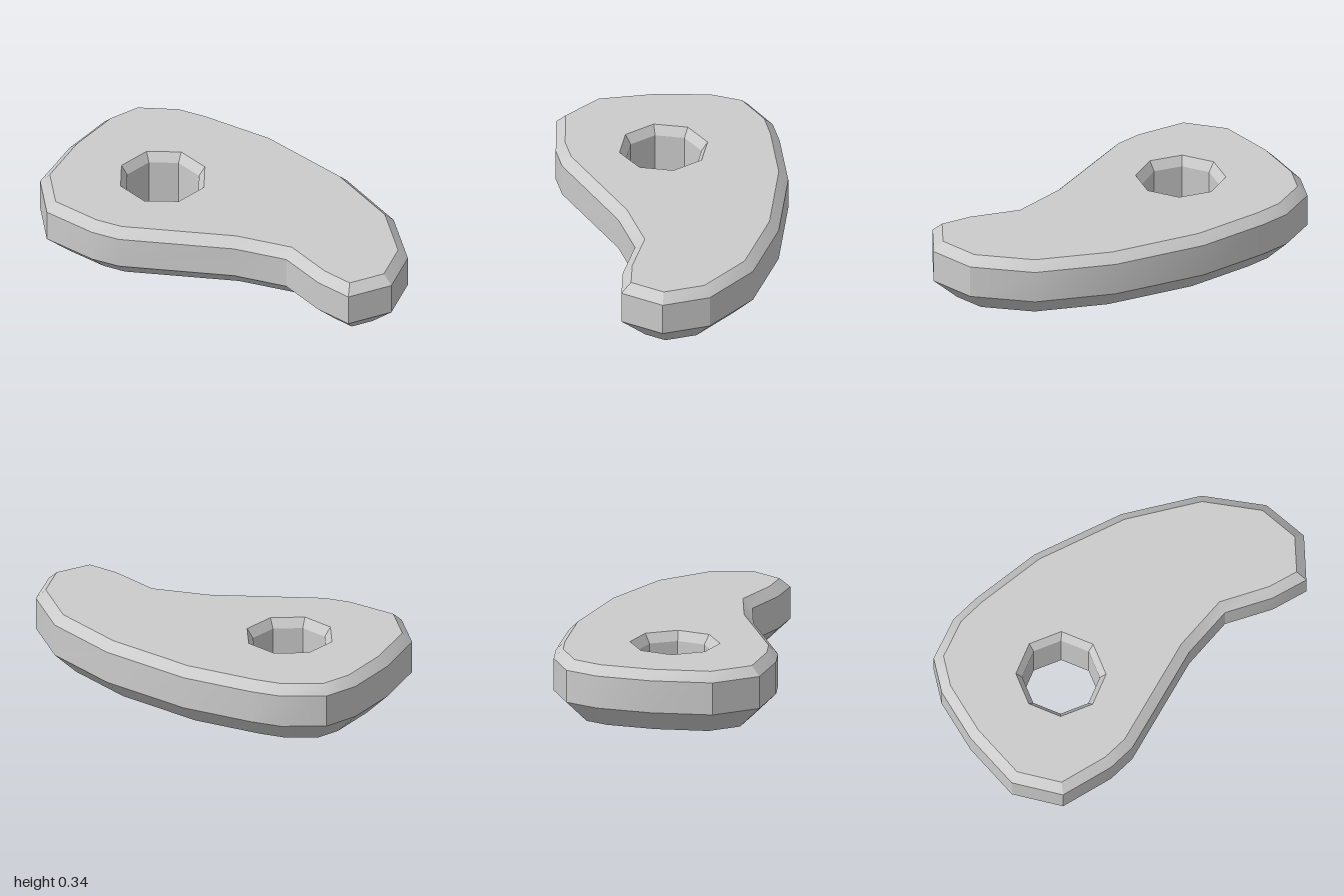
import * as THREE from 'three';
import { toCreasedNormals } from 'three/addons/utils/BufferGeometryUtils.js';

// Plan outline as [x, z], clockwise seen from above
const OUTLINE = [
  [-1, 0.27], [-0.98, -0.05], [-0.91, -0.33], [-0.81, -0.49], [-0.59, -0.57], [-0.43, -0.57],
  [-0.05, -0.53], [0.42, -0.375], [0.78, -0.16], [0.98, 0.11], [1, 0.36], [0.84, 0.54],
  [0.65, 0.49], [0.42, 0.375], [0.14, 0.4], [-0.43, 0.565], [-0.58, 0.565], [-0.86, 0.5],
];
const HEIGHT = 0.336, WALL_TOP = 0.288, WALL_BOTTOM = 0.119;

// Moves every edge of the outline inwards by d, with mitred corners
function inset(points, d) {
  const n = points.length;
  const normal = (a, b) => new THREE.Vector2(a[1] - b[1], b[0] - a[0]).normalize();
  return points.map((p, i) => {
    const n1 = normal(points[(i + n - 1) % n], p);
    const n2 = normal(p, points[(i + 1) % n]);
    const k = d / (1 + n1.dot(n2));
    return [p[0] + (n1.x + n2.x) * k, p[1] + (n1.y + n2.y) * k];
  });
}

// Octagon for the hole, counter-clockwise seen from above
function octagon(r) {
  return Array.from({ length: 8 }, (_, i) => {
    const a = (i * Math.PI) / 4;
    return [-0.42 + r * Math.cos(a), 0.038 - r * Math.sin(a)];
  });
}

// Skin between closed rings listed from bottom to top
function loft(rings) {
  const pos = [];
  for (let r = 0; r < rings.length - 1; r++) {
    const lo = rings[r], hi = rings[r + 1], n = lo.points.length;
    const at = (ring, i) => [ring.points[i % n][0], ring.y, ring.points[i % n][1]];
    for (let i = 0; i < n; i++) {
      pos.push(...at(lo, i + 1), ...at(lo, i), ...at(hi, i));
      pos.push(...at(lo, i + 1), ...at(hi, i), ...at(hi, i + 1));
    }
  }
  const geo = new THREE.BufferGeometry();
  geo.setAttribute('position', new THREE.Float32BufferAttribute(pos, 3));
  return toCreasedNormals(geo, Math.PI / 6);
}

// Flat face with a hole, facing up (dir 1) or down (dir -1)
function cap(outer, hole, y, dir) {
  const flat = (pts) => pts.map(([x, z]) => new THREE.Vector2(x, -dir * z));
  const shape = new THREE.Shape(flat(outer));
  shape.holes.push(new THREE.Path(flat(hole)));
  return new THREE.ShapeGeometry(shape).rotateX((-dir * Math.PI) / 2).translate(0, y, 0);
}

export function createModel() {
  const group = new THREE.Group();
  group.name = 'curvedPlate';
  const material = new THREE.MeshStandardMaterial({ color: 0xcccccc });
  const add = (name, geo) => {
    const mesh = new THREE.Mesh(geo, material);
    mesh.name = name;
    group.add(mesh);
  };

  const bottom = inset(OUTLINE, 0.119), top = inset(OUTLINE, 0.048);
  const bore = octagon(0.198), boreRim = octagon(0.23);

  // Outer side: deep lower chamfer, upright wall, small upper chamfer
  add('rim', loft([
    { points: bottom, y: 0 },
    { points: OUTLINE, y: WALL_BOTTOM },
    { points: OUTLINE, y: WALL_TOP },
    { points: top, y: HEIGHT },
  ]));

  // Through hole, chamfered at the top only
  add('hole', loft([
    { points: bore, y: 0 },
    { points: bore, y: WALL_TOP },
    { points: boreRim, y: HEIGHT },
  ]));

  add('topFace', cap(top, boreRim, HEIGHT, 1));
  add('bottomFace', cap(bottom, bore, 0, -1));
  return group;
}
